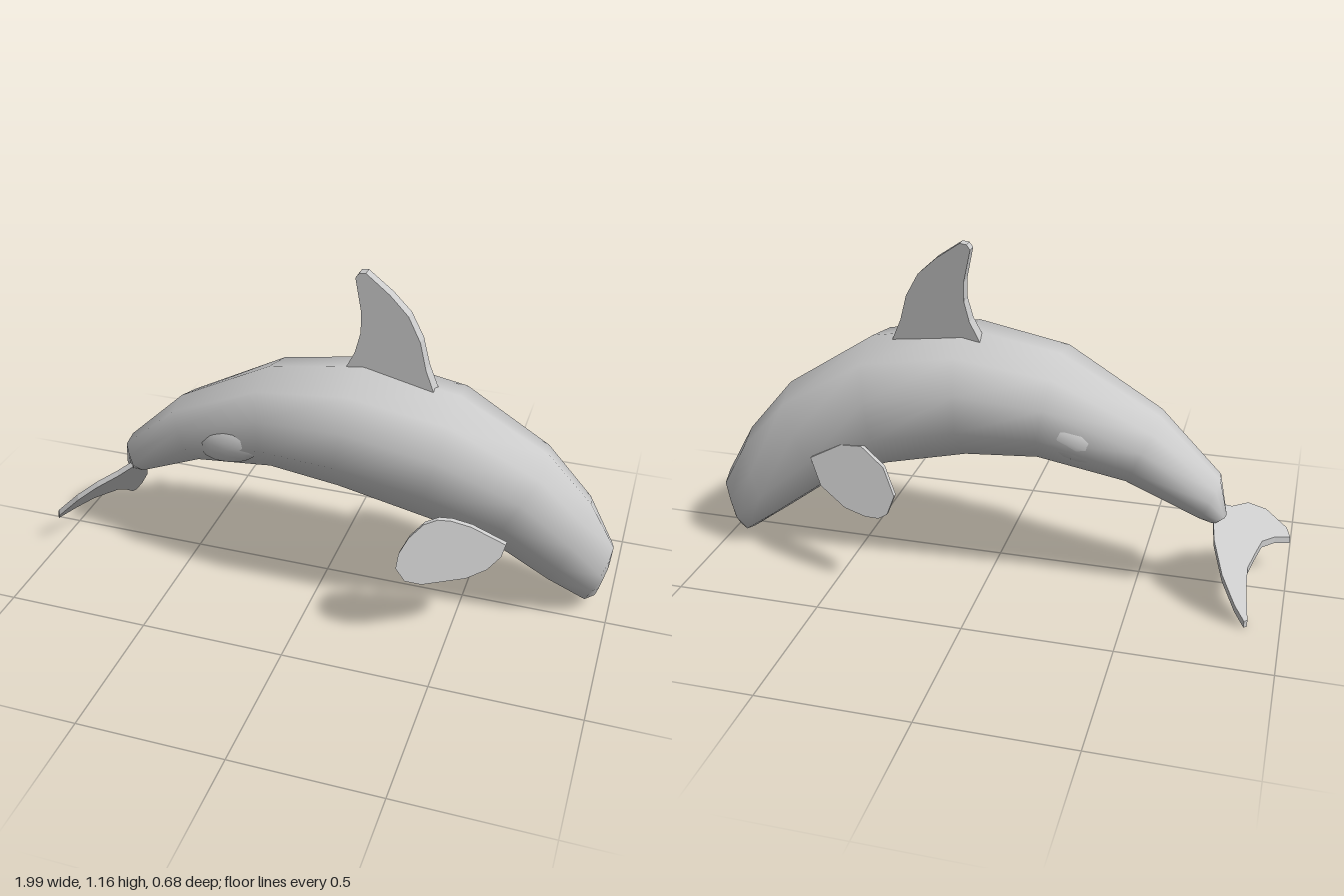
import * as THREE from 'three';

const material = new THREE.MeshStandardMaterial({ color: 0xcccccc, side: THREE.DoubleSide });

function part(name, geometry) {
  const mesh = new THREE.Mesh(geometry, material);
  mesh.name = name;
  return mesh;
}

// Arched body: each station is [topX, topY, bottomX, bottomY, centreZ, halfWidth], tail to snout
const stations = [
  [-0.79, 0.28, -0.74, 0.25, -0.05, 0.03],
  [-0.76, 0.40, -0.70, 0.27, -0.04, 0.09],
  [-0.55, 0.60, -0.45, 0.38, -0.03, 0.14],
  [-0.21, 0.78, -0.16, 0.435, -0.01, 0.21],
  [0.12, 0.835, 0.08, 0.415, 0, 0.24],
  [0.45, 0.78, 0.36, 0.345, -0.005, 0.23],
  [0.75, 0.59, 0.57, 0.26, -0.04, 0.18],
  [0.90, 0.41, 0.78, 0.11, -0.07, 0.145],
  [0.99, 0.24, 0.91, 0.02, -0.09, 0.085],
  [0.985, 0.18, 0.945, 0.03, -0.095, 0.045],
];
// Cross-section as [height -1..1, side -1..1], counterclockwise seen from the snout
const half = [[0.83, 0.7], [0.3, 0.9], [-0.27, 1], [-0.83, 0.62]];
const ring = [[1, 0], ...half, [-1, 0], ...half.map(([t, w]) => [t, -w]).reverse()];

function bodyGeometry() {
  const positions = [], index = [], n = ring.length, last = stations.length - 1;
  for (const [tx, ty, bx, by, cz, hw] of stations) {
    for (const [t, w] of ring) {
      const k = (t + 0.06 * w + 1) / 2; // slight roll to one side
      positions.push(bx + (tx - bx) * k, by + (ty - by) * k, cz + hw * w);
    }
  }
  for (let i = 0; i < last; i++) {
    for (let j = 0; j < n; j++) {
      const a = i * n + j, b = i * n + (j + 1) % n;
      index.push(a, b, a + n, b, b + n, a + n);
    }
  }
  // End caps
  for (let j = 1; j < n - 1; j++) {
    index.push(0, j + 1, j);
    index.push(last * n, last * n + j, last * n + j + 1);
  }
  const geometry = new THREE.BufferGeometry();
  geometry.setAttribute('position', new THREE.Float32BufferAttribute(positions, 3));
  geometry.setIndex(index);
  geometry.computeVertexNormals();
  return geometry;
}

// Thin fin: an outline extruded about its middle, then placed by a rule (u, v, w) -> [x, y, z]
function finGeometry(outline, thickness, place) {
  const shape = new THREE.Shape(outline.map(([u, v]) => new THREE.Vector2(u, v)));
  const geometry = new THREE.ExtrudeGeometry(shape, { depth: thickness, bevelEnabled: false });
  const p = geometry.attributes.position;
  for (let i = 0; i < p.count; i++) {
    p.setXYZ(i, ...place(p.getX(i), p.getY(i), p.getZ(i) - thickness / 2));
  }
  geometry.computeVertexNormals();
  return geometry;
}

export function createModel() {
  const model = new THREE.Group();
  model.name = 'leapingWhale';
  model.add(part('body', bodyGeometry()));

  // Dorsal fin, leaning back and thinning to its tip
  const dorsal = [
    [0.05, 0.80], [0.09, 0.88], [0.107, 0.95], [0.105, 1.02], [0.08, 1.13], [0.092, 1.147], [0.115, 1.15],
    [0.20, 1.09], [0.265, 1.03], [0.31, 0.95], [0.335, 0.86], [0.37, 0.78],
  ];
  model.add(part('dorsalFin', finGeometry(dorsal, 0.055, (x, y, w) => {
    const k = (y - 0.8) / 0.35;
    return [x, y, -0.02 - 0.032 * k + 0.06 * (x - 0.2) + w * (1 - 0.35 * k)];
  })));

  // Pectoral fins, swept back and outwards
  const leftFin = [
    [0.34, 0.31], [0.345, 0.36], [0.37, 0.41], [0.41, 0.45], [0.45, 0.46], [0.49, 0.45], [0.55, 0.42],
    [0.66, 0.34], [0.65, 0.30], [0.61, 0.26], [0.55, 0.24], [0.42, 0.24], [0.37, 0.26],
  ];
  model.add(part('leftPectoralFin', finGeometry(leftFin, 0.018,
    (x, y, w) => [x, y, 0.33 - 0.59 * (x - 0.34) - 0.2 * (y - 0.33) + w])));

  const rightFin = [
    [0.28, 0.34], [0.30, 0.28], [0.33, 0.262], [0.38, 0.258], [0.46, 0.27], [0.56, 0.32],
    [0.61, 0.40], [0.50, 0.46], [0.42, 0.47], [0.33, 0.42],
  ];
  model.add(part('rightPectoralFin', finGeometry(rightFin, 0.018,
    (x, y, w) => [x, y, -0.502 + 0.2 * x + 0.4 * y + w])));

  // Tail flukes: outline in x and z on a tilted plane
  const flukes = [
    [-0.745, -0.05], [-0.76, -0.13], [-0.80, -0.205], [-0.85, -0.25], [-0.885, -0.265], [-0.895, -0.25],
    [-0.88, -0.17], [-0.875, -0.10], [-0.89, -0.04], [-0.91, 0.03], [-0.95, 0.09], [-1.0, 0.145],
    [-0.985, 0.162], [-0.91, 0.145], [-0.85, 0.10], [-0.80, 0.03], [-0.755, -0.01],
  ];
  model.add(part('tailFlukes', finGeometry(flukes, 0.024,
    (x, z, w) => [x, 0.27 + 1.09 * (x + 0.75) + 0.56 * (z + 0.05) - w, z])));

  // Shallow swellings low on the rear flanks
  for (const [name, z] of [['leftFlank', 0.125], ['rightFlank', -0.15]]) {
    const flank = part(name, new THREE.SphereGeometry(1, 12, 8));
    flank.scale.set(0.14, 0.065, 0.05);
    flank.rotation.set(0, z > 0 ? -0.2 : 0.2, 0.35);
    flank.position.set(-0.3, 0.535, z);
    model.add(flank);
  }
  return model;
}
